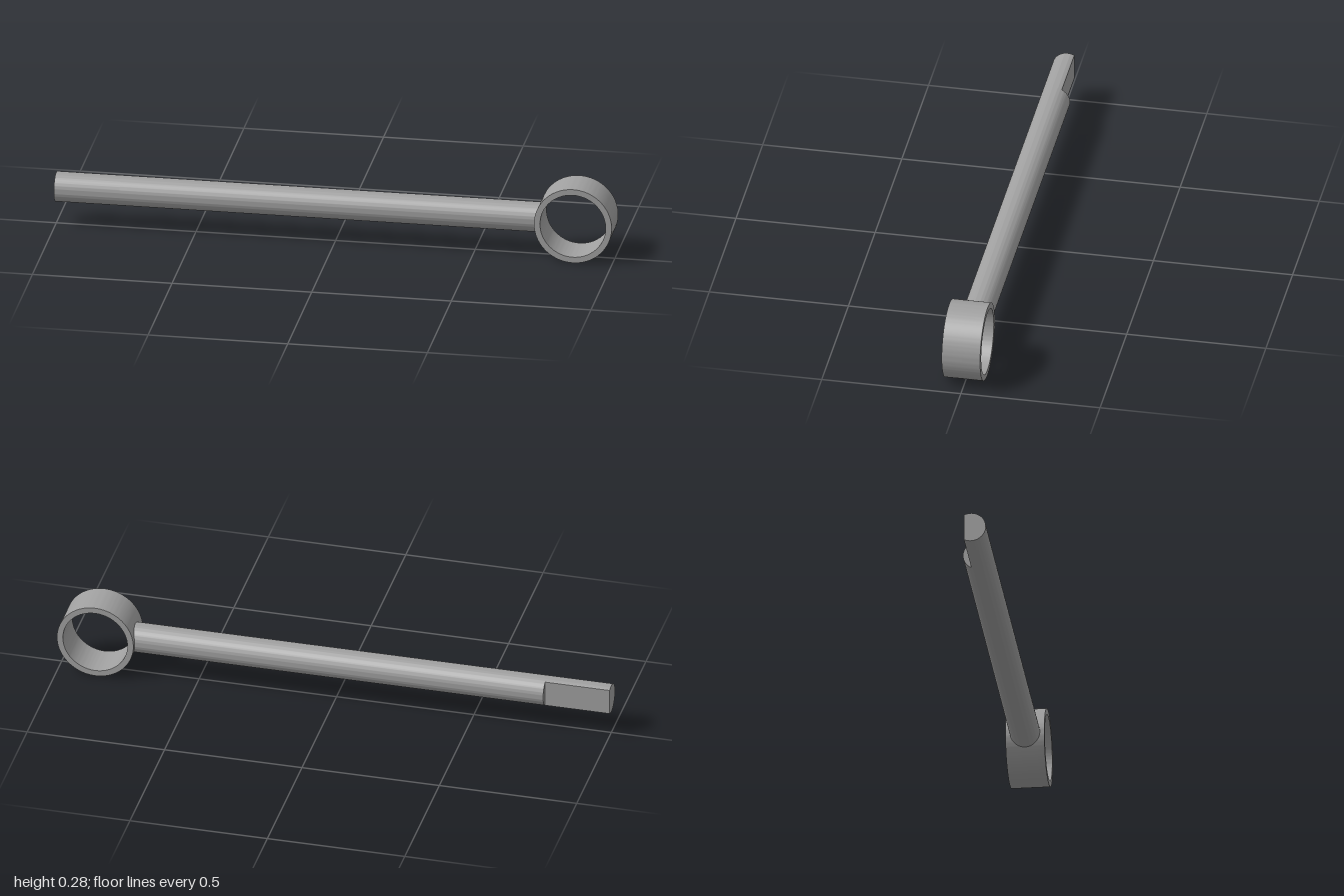
import * as THREE from 'three';
import { toCreasedNormals } from 'three/addons/utils/BufferGeometryUtils.js';

const AXIS_Y = 0.139;        // common height of ring and rod axes
const RING_X = 0.861, RING_R = 0.139, BORE_R = 0.1175, RING_WIDTH = 0.138;
const ROD_R = 0.0535, FLAT_Z = 0.024;
const ROD_START = -1, FLAT_END = -0.765, ROD_END = 0.738;

// Straight extrusion with smooth round walls and sharp rims
function extrude(shape, depth) {
  const geometry = new THREE.ExtrudeGeometry(shape, { depth, bevelEnabled: false, curveSegments: 64 });
  return toCreasedNormals(geometry, 0.5);
}

export function createModel() {
  const group = new THREE.Group();
  const steel = new THREE.MeshStandardMaterial({ color: 0xa0a0a0 });
  steel.name = 'steel grey';

  const add = (name, geometry) => {
    const mesh = new THREE.Mesh(geometry, steel);
    mesh.name = name;
    group.add(mesh);
  };

  // Open ring with its bore along z
  const ringShape = new THREE.Shape().absarc(0, 0, RING_R, 0, Math.PI * 2);
  ringShape.holes.push(new THREE.Path().absarc(0, 0, BORE_R, 0, Math.PI * 2, true));
  add('eyeRing', extrude(ringShape, RING_WIDTH).translate(RING_X, AXIS_Y, -RING_WIDTH / 2));

  // Extrudes a cross-section along x; its local +x turns to the back
  const alongX = (shape, from, to) =>
    extrude(shape, to - from).rotateY(Math.PI / 2).translate(from, AXIS_Y, 0);

  // Round rod, ending inside the ring wall
  const round = new THREE.Shape().absarc(0, 0, ROD_R, 0, Math.PI * 2);
  add('rod', alongX(round, FLAT_END, ROD_END));

  // Tip with a flat cut into its back
  const a = Math.acos(FLAT_Z / ROD_R);
  const dShape = new THREE.Shape().absarc(0, 0, ROD_R, a, Math.PI * 2 - a);
  dShape.closePath();
  add('flattenedTip', alongX(dShape, ROD_START, FLAT_END));

  return group;
}
